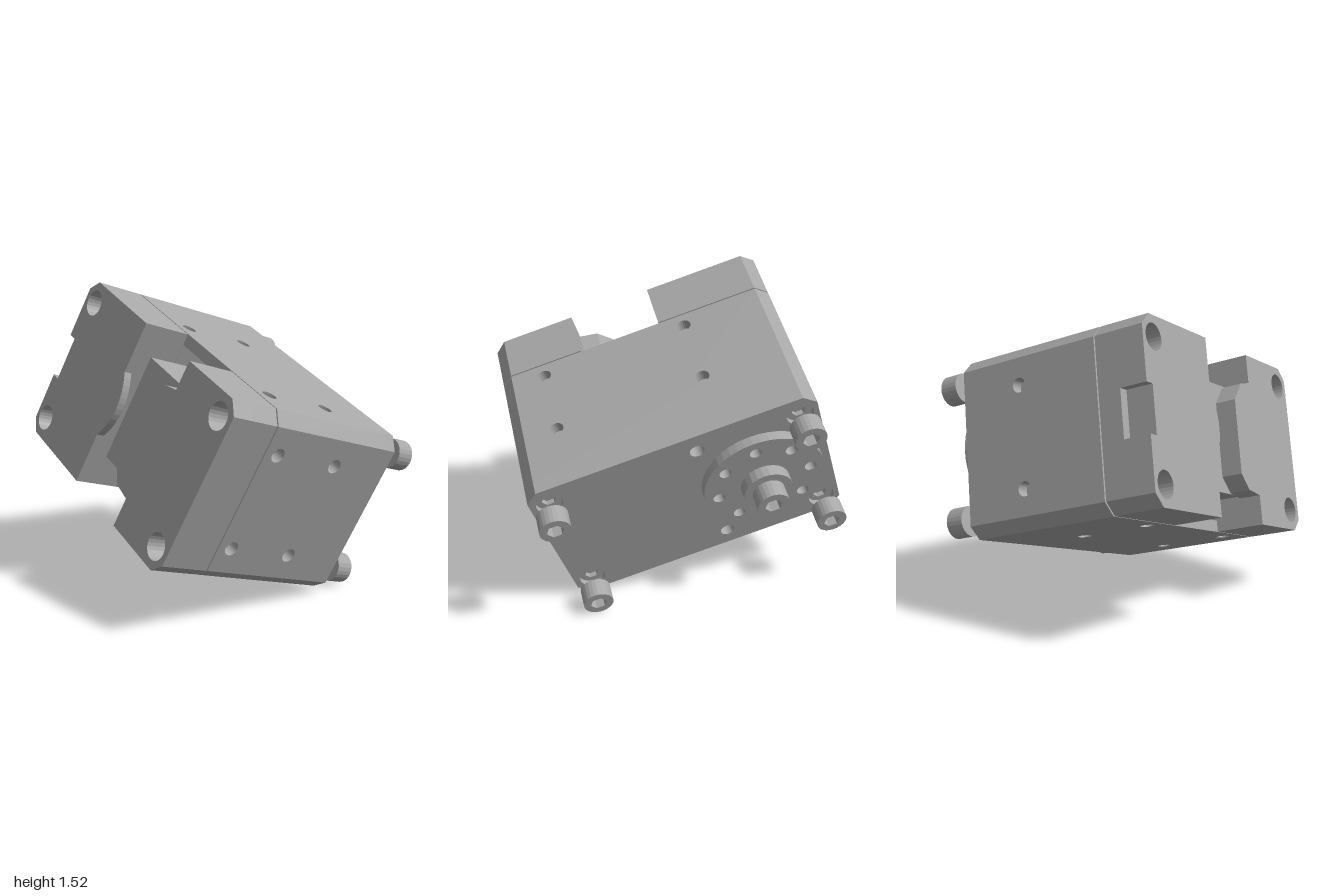
import * as THREE from 'three';

// Local frame: x = length, y = height, z = depth (cover towards +z, output horn towards -z)
const U1 = -0.945, U2 = 0.485, V1 = 0.25, V2 = 1.135, C = 0.06;
const BACK = -0.24, SEAM = 0.545, FRONT = 0.81;
const SCREWS = [[-0.855, 0.355], [-0.855, 1.03], [0.39, 0.355], [0.39, 1.03]];

export function createModel() {
  const metal = new THREE.MeshStandardMaterial({ color: 0xa6a6a6 });
  metal.name = 'grey metal';
  const model = new THREE.Group();
  model.name = 'servoMotor';
  const unit = new THREE.Group();
  unit.name = 'tiltedServo';
  model.add(unit);

  const add = (name, geometry) => {
    const mesh = new THREE.Mesh(geometry, metal);
    mesh.name = name;
    unit.add(mesh);
    return mesh;
  };
  const outline = (points) => new THREE.Shape(points.map(([x, y]) => new THREE.Vector2(x, y)));
  const circle = (x, y, r) => new THREE.Path().absarc(x, y, r, 0, Math.PI * 2, true);
  const hexagon = (x, y, r) => new THREE.Path(Array.from({ length: 6 }, (_, i) =>
    new THREE.Vector2(x + r * Math.cos(-i * Math.PI / 3), y + r * Math.sin(-i * Math.PI / 3))));
  const slab = (shape, holes, z0, z1) => {
    shape.holes.push(...holes);
    return new THREE.ExtrudeGeometry(shape, { depth: z1 - z0, bevelEnabled: false, curveSegments: 12 })
      .translate(0, 0, z0);
  };
  const rect = (x0, x1, y0, y1) => outline([[x0, y0], [x1, y0], [x1, y1], [x0, y1]]);
  const box = (name, x0, x1, y0, y1, z0, z1) => add(name,
    new THREE.BoxGeometry(x1 - x0, y1 - y0, z1 - z0)
      .translate((x0 + x1) / 2, (y0 + y1) / 2, (z0 + z1) / 2));
  const disc = (x, y, r) => new THREE.Shape().absarc(x, y, r, 0, Math.PI * 2, false);

  // Inner core, leaving a deep slot behind the front channel
  const inset = [V1 + C, V2 - C];
  box('bodyCore', U1 + C, U2 - C, ...inset, BACK + C, 0.35);
  box('bodyCoreLeft', U1 + C, -0.37, ...inset, 0.35, 0.55);
  box('bodyCoreRight', 0.05, U2 - C, ...inset, 0.35, 0.55);

  // Side walls with mounting holes
  const z0 = BACK + C, R = 0.036;
  const grid = (as, bs) => as.flatMap((a) => bs.map((b) => circle(a, b, R)));
  const us = [-0.485, 0.26], vs = [0.44, 0.94], ws = [0.1, 0.468];
  add('topWall', slab(rect(U1 + C, U2 - C, -SEAM, -z0), grid(us, ws.map((w) => -w)), 0, C)
    .rotateX(-Math.PI / 2).translate(0, V2 - C, 0));
  add('bottomWall', slab(rect(U1 + C, U2 - C, z0, SEAM), grid(us, ws), 0, C)
    .rotateX(Math.PI / 2).translate(0, V1 + C, 0));
  add('rightWall', slab(rect(-SEAM, -z0, ...inset), grid(ws.map((w) => -w), vs), 0, C)
    .rotateY(Math.PI / 2).translate(U2 - C, 0, 0));
  add('leftWall', slab(rect(z0, SEAM, ...inset), grid([0.1], vs), 0, C)
    .rotateY(-Math.PI / 2).translate(U1 + C, 0, 0));

  // Chamfered long corners
  for (const [u, su] of [[U1, 1], [U2, -1]]) for (const [v, sv] of [[V1, 1], [V2, -1]]) {
    add('cornerChamfer', slab(outline([[u + su * C, v], [u, v + sv * C], [u + su * C, v + sv * C]]), [], z0, SEAM));
  }

  // Back plate with screw pockets and two small holes
  const octagon = outline([[U1 + C, V1], [U2 - C, V1], [U2, V1 + C], [U2, V2 - C],
    [U2 - C, V2], [U1 + C, V2], [U1, V2 - C], [U1, V1 + C]]);
  add('backPlate', slab(octagon, [
    ...SCREWS.map(([u, v]) => circle(u, v, 0.066)),
    circle(-0.345, 0.35, R), circle(-0.345, 1.03, R),
  ], BACK, z0));

  // Socket-head screws: floating heads and seated ones, sockets facing back
  const socketScrew = (name, u, v, r, zEnd, zBase) => {
    const floor = zEnd + (zBase - zEnd) * 0.7;
    add(name, slab(disc(u, v, r), [hexagon(u, v, r * 0.55)], zEnd, floor));
    add(name + 'Base', slab(disc(u, v, r), [], floor, zBase));
  };
  for (const [u, v] of SCREWS) {
    socketScrew('looseScrew', u, v, 0.076, -0.405, -0.31);
    socketScrew('seatedScrew', u, v, 0.064, -0.215, z0);
  }

  // Output horn with a ring of eight holes, hub and centre screw
  const hu = -0.6, hv = 0.695;
  const hornHoles = Array.from({ length: 8 }, (_, i) =>
    circle(hu + 0.235 * Math.cos(i * Math.PI / 4), hv + 0.235 * Math.sin(i * Math.PI / 4), 0.03));
  const hornShape = disc(hu, hv, 0.305);
  add('outputHorn', new THREE.ExtrudeGeometry(Object.assign(hornShape, { holes: hornHoles }),
    { depth: 0.05, bevelEnabled: false, curveSegments: 24 }).translate(0, 0, -0.29));
  add('hornHub', slab(disc(hu, hv, 0.122), [], -0.35, -0.29));
  socketScrew('hornScrew', hu, hv, 0.08, -0.44, -0.35);

  // Front cover, left block: plain layer, then a layer with the side notch
  const holes = (list) => list.map(([u, v]) => circle(u, v, 0.066));
  const leftEnd = (notch) => outline([[U1 + C, V1], [-0.37, V1], [-0.37, V2], [U1 + C, V2], [U1, V2 - C],
    ...notch, [U1, V1 + C]]);
  const left = SCREWS.slice(0, 2), right = SCREWS.slice(2);
  add('coverLeftBase', slab(leftEnd([]), holes(left), 0.552, 0.67));
  add('coverLeftFront', slab(
    leftEnd([[U1, 0.805], [U1 + 0.05, 0.805], [U1 + 0.05, 0.57], [U1, 0.57]]), holes(left), 0.67, FRONT));

  // Shallow curved rib on the channel wall
  const rib = new THREE.Shape();
  rib.moveTo(-0.372, 0.515);
  rib.quadraticCurveTo(-0.25, 0.694, -0.372, 0.873);
  add('curvedRib', slab(rib, [], 0.77, FRONT));

  // Front cover, right block: plain layer, then a layer with the chamfered tab
  const rightEnd = (tab) => outline([[0.05, V1], [U2 - C, V1], [U2, V1 + C], [U2, V2 - C],
    [U2 - C, V2], [0.05, V2], ...tab]);
  add('coverRightBase', slab(rightEnd([]), holes(right), 0.552, 0.7));
  add('coverRightFront', slab(rightEnd([[0.05, 0.985], [-0.04, 0.965], [-0.12, 0.87], [-0.125, 0.49],
    [-0.055, 0.415], [0.05, 0.4]]), holes(right), 0.7, FRONT));

  // Raised block on the floor of the channel
  box('channelBlock', -0.372, 0.06, 0.41, 0.974, 0.35, 0.702);

  // Tilt the whole unit into its resting pose
  const a = THREE.MathUtils.degToRad(25), b = THREE.MathUtils.degToRad(43);
  const along = new THREE.Vector3(Math.cos(a) * Math.cos(b), -Math.sin(a) * Math.cos(b), Math.sin(b));
  const up = new THREE.Vector3(Math.sin(a), Math.cos(a), 0);
  const out = new THREE.Vector3().crossVectors(along, up);
  unit.quaternion.setFromRotationMatrix(new THREE.Matrix4().makeBasis(along, up, out));
  return model;
}
